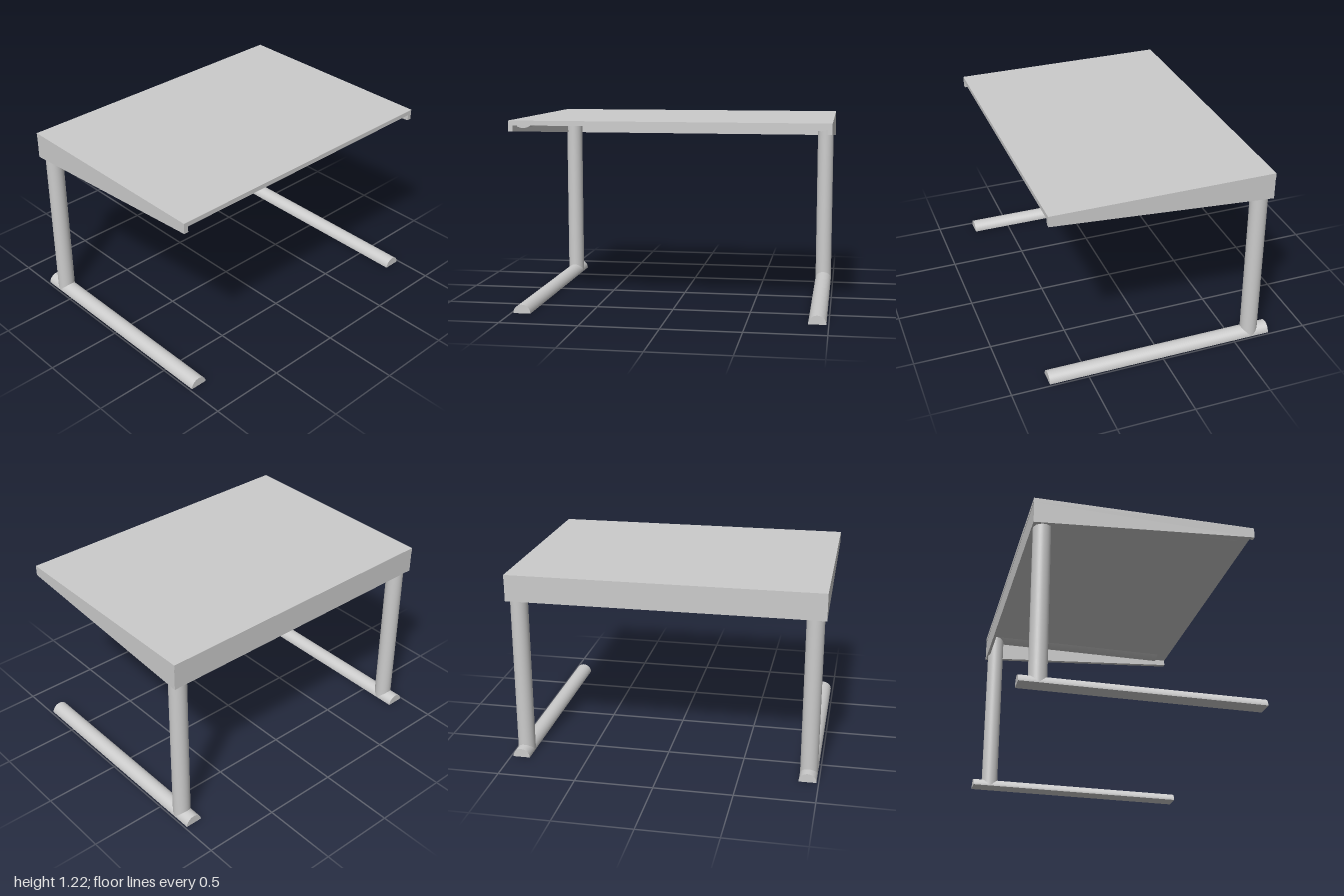
import * as THREE from 'three';

const material = new THREE.MeshStandardMaterial({ color: 0xcccccc });

function add(group, name, geometry, x = 0, y = 0, z = 0) {
  const mesh = new THREE.Mesh(geometry, material);
  mesh.name = name;
  mesh.position.set(x, y, z);
  group.add(mesh);
  return mesh;
}

function extrude(shape, depth) {
  return new THREE.ExtrudeGeometry(shape, { depth, bevelEnabled: false, curveSegments: 24 });
}

export function createModel() {
  const desk = new THREE.Group();
  desk.name = 'desk';

  const topY = 1.19, backZ = -0.695, frontZ = 0.73;
  const legX = 0.93, legZ = -0.63, radius = 0.056;

  // Worktop and the panel closing its rear edge
  add(desk, 'worktop', new THREE.BoxGeometry(2, 0.03, 1.427), 0, topY + 0.015, 0.0165);
  add(desk, 'backPanel', new THREE.BoxGeometry(1.94, 0.142, 0.02), 0, 1.119, backZ + 0.01);

  // Tapered side bracket, drawn in (-z, y) and extruded along x
  const bracketShape = new THREE.Shape([
    new THREE.Vector2(-frontZ, 1.152),
    new THREE.Vector2(-backZ, 1.047),
    new THREE.Vector2(-backZ, topY),
    new THREE.Vector2(-frontZ, topY),
  ]);
  const bracket = extrude(bracketShape, 0.03).rotateY(Math.PI / 2);

  // Half-round floor rail
  const footShape = new THREE.Shape();
  footShape.absarc(0, 0, radius, 0, Math.PI, false);
  const foot = extrude(footShape, 1.5);

  // Shallow rounded arm under the worktop
  const armShape = new THREE.Shape();
  const armRadius = 0.083, half = Math.asin(radius / armRadius);
  armShape.absarc(0, armRadius * Math.cos(half), armRadius, -Math.PI / 2 - half, -Math.PI / 2 + half, false);
  const arm = extrude(armShape, 1.32);

  const leg = new THREE.CylinderGeometry(radius, radius, topY - 0.002, 40);

  for (const [side, s] of [['left', 1], ['right', -1]]) {
    add(desk, side + 'Bracket', bracket, s > 0 ? 0.97 : -1, 0, 0);
    add(desk, side + 'Leg', leg, s * legX, topY / 2, legZ);
    add(desk, side + 'Foot', foot, s * legX, 0, -0.75);
    add(desk, side + 'Arm', arm, s * legX, topY, -0.675);
  }

  return desk;
}
